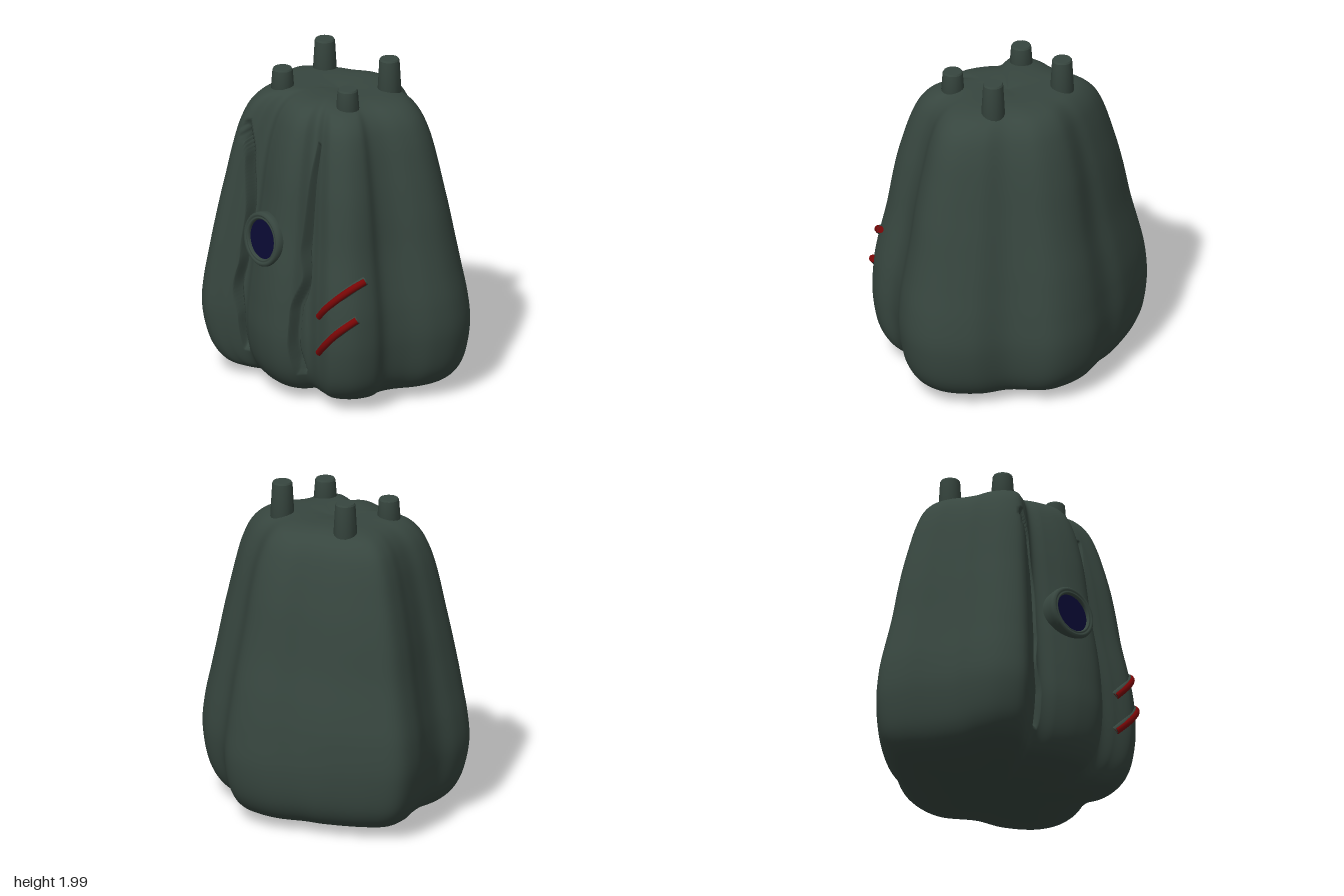
import * as THREE from 'three';

const material = (name, color, extra = {}) => {
  const m = new THREE.MeshStandardMaterial({ color, ...extra });
  m.name = name;
  return m;
};

// Lobed footprint at the widest level, as x, z pairs, clockwise from the back
const FOOTPRINT = [
  [0.07, -0.69], [0.2, -0.66], [0.4, -0.5], [0.6, -0.42], [0.78, -0.25], [0.82, -0.1],
  [0.78, 0.05], [0.68, 0.2], [0.64, 0.32], [0.655, 0.43], [0.6, 0.56], [0.48, 0.63],
  [0.35, 0.6], [0.24, 0.57], [0.17, 0.65], [0.08, 0.68], [-0.06, 0.655], [-0.2, 0.59],
  [-0.3, 0.53], [-0.41, 0.57], [-0.53, 0.6], [-0.65, 0.5], [-0.7, 0.35], [-0.705, 0.2],
  [-0.75, 0.05], [-0.81, -0.1], [-0.815, -0.25], [-0.7, -0.37], [-0.45, -0.52],
  [-0.3, -0.57], [-0.1, -0.67],
];

// Body profile, as scale, height pairs from the underside to the crown
const PROFILE = [
  [0, 0.01], [0.25, 0.01], [0.5, 0.025], [0.73, 0.055], [0.86, 0.1], [0.95, 0.2], [1, 0.4],
  [0.985, 0.6], [0.94, 0.8], [0.885, 1], [0.835, 1.2], [0.78, 1.4], [0.705, 1.6], [0.635, 1.71],
  [0.545, 1.775], [0.41, 1.807], [0.2, 1.812], [0, 1.8],
];

const curve = (points) => new THREE.CatmullRomCurve3(points.map((p) => new THREE.Vector3(p[0], p[1], p[2] || 0)));

// Centre lines of the two wavering slits in the front, as x, y
const SLITS = [
  { half: 0.028, path: [[-0.3, 0.2], [-0.31, 0.4], [-0.34, 0.6], [-0.31, 0.8], [-0.29, 1.1], [-0.31, 1.4], [-0.35, 1.62]] },
  { half: 0.024, path: [[0.2, 0.2], [0.185, 0.4], [0.19, 0.6], [0.225, 0.8], [0.2, 1], [0.2, 1.4], [0.21, 1.61]] },
];

function slitX(path, y) {
  for (let i = 1; i < path.length; i++) {
    const [x0, y0] = path[i - 1], [x1, y1] = path[i];
    if (y >= y0 && y <= y1) return THREE.MathUtils.lerp(x0, x1, THREE.MathUtils.smoothstep(y, y0, y1));
  }
  return null;
}

function bodyGeometry() {
  const rows = 150;
  const outline = new THREE.CatmullRomCurve3(FOOTPRINT.map(([x, z]) => new THREE.Vector3(x, 0, z)), true);
  // finer columns across the front, where the slits are cut
  const ring = outline.getSpacedPoints(1000).slice(0, 1000)
    .filter((p, i) => i % 6 === 0 || (p.z > 0.4 && Math.abs(p.x) < 0.47));
  const around = ring.length;
  const levels = curve(PROFILE).getPoints(rows);
  const pos = [], index = [];
  levels.forEach(({ x: scale, y }, r) => {
    ring.forEach((p, i) => {
      const a = Math.atan2(p.z, p.x);
      // gentle hand-moulded unevenness
      const s = Math.max(0, scale) * (1 + 0.007 * Math.sin(7 * y + 3 * a) * Math.sin(5 * a - 4 * y));
      const x = p.x * s;
      let z = p.z * s + 0.02 * (y - 0.4);
      for (const { half, path } of SLITS) {
        const cx = z > 0.2 ? slitX(path, y) : null;
        if (cx === null) continue;
        const taper = THREE.MathUtils.clamp(Math.min((y - 0.18) / 0.12, (1.64 - y) / 0.12), 0, 1);
        const d = Math.abs(x - cx) / half;
        z -= 0.07 * taper * (1 - THREE.MathUtils.smoothstep(d, 0.55, 1));
      }
      pos.push(x, y, z);
      if (r < rows) {
        const b = r * around + i, c = r * around + ((i + 1) % around);
        index.push(b, b + around, c, c, b + around, c + around);
      }
    });
  });
  const g = new THREE.BufferGeometry();
  g.setAttribute('position', new THREE.Float32BufferAttribute(pos, 3));
  g.setIndex(index);
  g.computeVertexNormals();
  return g;
}

const lathe = (profile, sides) => new THREE.LatheGeometry(profile.map(([r, y]) => new THREE.Vector2(r, y)), sides);

export function createModel() {
  const group = new THREE.Group();
  const green = material('dark green', 0x37463f, { side: THREE.DoubleSide });
  const red = material('deep red', 0x780606);
  const navy = material('navy blue', 0x0a0a34);
  const add = (name, geometry, mat, parent = group) => {
    const mesh = new THREE.Mesh(geometry, mat);
    mesh.name = name;
    parent.add(mesh);
    return mesh;
  };

  add('body', bodyGeometry(), green);

  // Four tapered pegs on the crown, the back pair taller
  for (const [x, z, top] of [[-0.27, -0.148, 1.99], [0.243, -0.148, 2], [-0.26, 0.235, 1.92], [0.253, 0.23, 1.92]]) {
    const h = top - 1.7;
    const peg = add('peg', lathe([[0, 0], [0.076, 0], [0.06, h - 0.01], [0.06, h - 0.01], [0.054, h], [0.054, h], [0, h]], 16), green);
    peg.position.set(x, 1.7, z);
  }

  // Round porthole, tilted to lie on the front, its glass sunk in a rounded rim
  const porthole = new THREE.Group();
  porthole.name = 'porthole';
  porthole.position.set(-0.08, 0.99, 0.615);
  porthole.lookAt(-0.25, 1.08, 1.615);
  group.add(porthole);
  const rim = [[0.158, -0.09], [0.165, -0.02], [0.163, 0.004], [0.152, 0.016], [0.14, 0.012],
    [0.136, 0.006], [0.131, 0.012], [0.124, 0.01], [0.119, 0], [0.119, -0.05]];
  add('portholeRim', lathe(rim, 48), green, porthole).rotation.x = Math.PI / 2;
  const glass = add('portholeGlass', new THREE.CylinderGeometry(0.121, 0.121, 0.008, 48), navy, porthole);
  glass.rotation.x = Math.PI / 2;
  glass.position.z = -0.012;

  // Two slanting red bars bent round the front left lobe, each in a green bed
  const bars = [
    [[0.36, 0.612, 0.598], [0.44, 0.695, 0.616], [0.52, 0.775, 0.59], [0.575, 0.83, 0.533], [0.607, 0.862, 0.473]],
    [[0.36, 0.384, 0.6], [0.44, 0.465, 0.628], [0.52, 0.55, 0.621], [0.575, 0.605, 0.583], [0.607, 0.637, 0.543]],
  ];
  for (const points of bars) {
    const path = curve(points);
    add('redBar', new THREE.TubeGeometry(path, 28, 0.022, 12), red);
    for (const [t, side] of [[0, -1], [1, 1]]) {
      const cap = add('redBarEnd', new THREE.CircleGeometry(0.022, 12), red);
      cap.position.copy(path.getPoint(t));
      cap.lookAt(path.getTangent(t).multiplyScalar(side).add(cap.position));
    }
    const bed = add('barBed', new THREE.TubeGeometry(path, 28, 0.028, 12), green);
    bed.position.set(-0.007, 0, -0.014);
  }
  return group;
}
